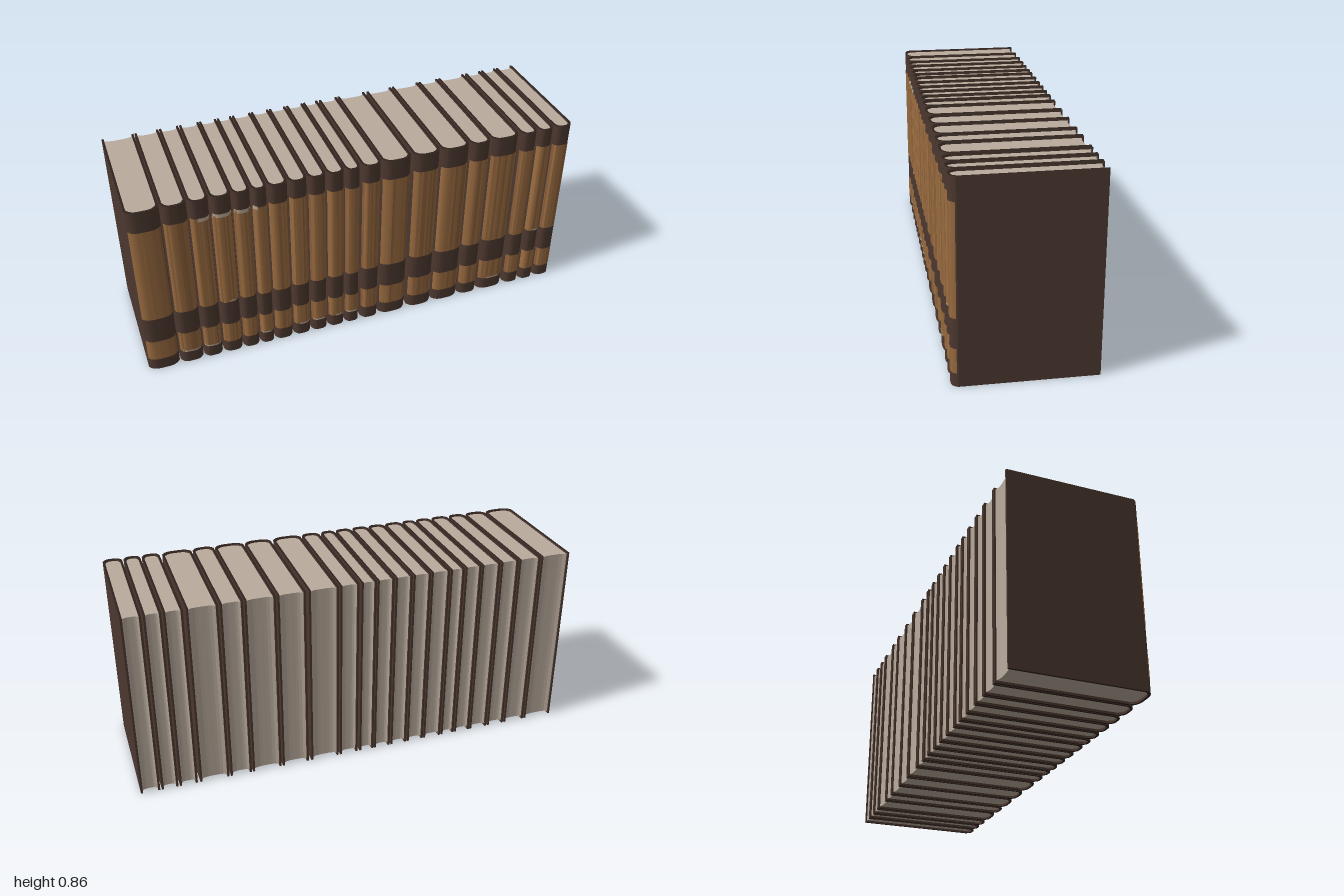
import * as THREE from 'three';

const mat = (name, color, side = THREE.FrontSide) => {
  const m = new THREE.MeshStandardMaterial({ color, side });
  m.name = name;
  return m;
};

const H = 0.86, BACK = -0.295, BOARD = 0.009, SEG = 14;
// left and right edge of each book along the row
const BOOKS = [
  [-1, -0.861], [-0.856, -0.752], [-0.747, -0.663], [-0.657, -0.57], [-0.566, -0.49],
  [-0.485, -0.42], [-0.415, -0.33], [-0.326, -0.246], [-0.241, -0.164], [-0.158, -0.081],
  [-0.077, -0.009], [0.001, 0.086], [0.093, 0.224], [0.237, 0.359], [0.366, 0.498],
  [0.504, 0.6], [0.607, 0.738], [0.75, 0.829], [0.836, 0.909], [0.916, 1],
];
// worn pale marks: book index, height, start and end across the spine
const MARKS = [
  [2, 0.765, 0.35, 0.95], [3, 0.765, 0.05, 0.95], [4, 0.765, 0.05, 0.95], [5, 0.765, 0.05, 0.3],
  [1, 0.064, 0.1, 0.9], [2, 0.064, 0.05, 0.9], [5, 0.064, 0.05, 0.7], [7, 0.064, 0.3, 0.95],
  [8, 0.064, 0.1, 0.9], [9, 0.064, 0.4, 0.9], [10, 0.064, 0.1, 0.8], [16, 0.064, 0.3, 0.8],
  [3, 0.3, 0.5, 0.8], [18, 0.3, 0.4, 0.8],
];

let seed = 11;
const rand = () => (seed = (seed * 16807) % 2147483647) / 2147483647;

// rounded spine: depth at u, from -1 to 1 across the book
const bulge = (u) => 0.266 + 0.0265 * (1 - Math.abs(u) ** 4);
const arc = (x0, x1, inset) => {
  const pts = [];
  for (let i = 0; i <= SEG; i++) {
    const u = Math.sin((i / SEG - 0.5) * Math.PI);
    pts.push([(x0 + x1) / 2 + (u * (x1 - x0)) / 2, bulge(u) - inset]);
  }
  return pts;
};

// upright prism from an outline of [x, z] points
function prism(points, y0, y1, material, name) {
  const shape = new THREE.Shape(points.map(([x, z]) => new THREE.Vector2(x, -z)));
  const geo = new THREE.ExtrudeGeometry(shape, { depth: y1 - y0, bevelEnabled: false });
  geo.rotateX(-Math.PI / 2).translate(0, y0, 0);
  const mesh = new THREE.Mesh(geo, material);
  mesh.name = name;
  return mesh;
}

// thin curved sheet lying on a spine, with one material slot per strip
function spineSheet(x0, x1, a, b, y0, y1, lift, materials, slots, name) {
  const pos = [], nor = [], idx = [], n = slots.length;
  for (let i = 0; i <= n; i++) {
    const u = a + ((b - a) * i) / n;
    const x = (x0 + x1) / 2 + (u * (x1 - x0)) / 2;
    const slope = (0.106 * u ** 3) / ((x1 - x0) / 2);
    const normal = new THREE.Vector3(slope, 0, 1).normalize();
    for (const y of [y0, y1]) {
      pos.push(x, y, bulge(u) + lift);
      nor.push(normal.x, 0, normal.z);
    }
  }
  const geo = new THREE.BufferGeometry();
  for (let i = 0; i < n; i++) {
    const k = i * 2;
    idx.push(k, k + 2, k + 3, k, k + 3, k + 1);
    geo.addGroup(i * 6, 6, slots[i]);
  }
  geo.setAttribute('position', new THREE.Float32BufferAttribute(pos, 3));
  geo.setAttribute('normal', new THREE.Float32BufferAttribute(nor, 3));
  geo.setIndex(idx);
  const mesh = new THREE.Mesh(geo, materials);
  mesh.name = name;
  return mesh;
}

export function createModel() {
  const leather = mat('dark leather', 0x4c382f);
  const edge = mat('cover edge', 0x2e221d);
  const paper = mat('paper', 0xb9ab9d);
  const tans = [
    mat('tan leather', 0x986a3f, THREE.DoubleSide),
    mat('worn tan leather', 0x8a5f38, THREE.DoubleSide),
    mat('light tan leather', 0xa07043, THREE.DoubleSide),
  ];
  const pale = mat('pale wear', 0xb8a690, THREE.DoubleSide);

  const row = new THREE.Group();
  row.name = 'bookRow';

  BOOKS.forEach(([x0, x1], n) => {
    const book = new THREE.Group();
    book.name = 'book' + (n + 1);
    const i0 = x0 + BOARD, i1 = x1 - BOARD;

    // boards and spine in one U-shaped shell
    const outer = arc(x0, x1, 0), inner = arc(i0, i1, BOARD).reverse();
    book.add(prism(
      [[x0, BACK], ...outer, [x1, BACK], [i1, BACK], ...inner, [i0, BACK]],
      0, H, [edge, leather], 'cover'));

    // page block with a hollow fore edge
    const hollow = [];
    for (let i = 0; i <= 8; i++) {
      const u = 1 - i / 4;
      hollow.push([(i0 + i1) / 2 + (u * (i1 - i0)) / 2, -0.279 - 0.009 * u ** 4]);
    }
    book.add(prism([...arc(i0, i1, BOARD), ...hollow], 0.01, H - 0.008, paper, 'pages'));

    // streaked tan fields on the spine
    const slots = Array.from({ length: 12 }, () => {
      const r = rand();
      return r < 0.55 ? 0 : r < 0.8 ? 1 : 2;
    });
    const shift = (rand() - 0.5) * 0.012;
    for (const [y0, y1, name] of [[0.06, 0.168, 'lowerField'], [0.294, 0.766, 'upperField']])
      book.add(spineSheet(x0, x1, -0.96, 0.96, y0 + shift / 2, y1 + shift, 0.0015, tans, slots, name));

    // pale scuffs
    for (const [k, y, a, b] of MARKS) {
      if (k !== n) continue;
      const h = y > 0.7 ? 0.009 : 0.004;
      book.add(spineSheet(x0, x1, a * 2 - 1, b * 2 - 1, y - h, y + h, 0.0025, [pale], [0, 0, 0, 0, 0, 0], 'scuff'));
    }
    row.add(book);
  });
  return row;
}
